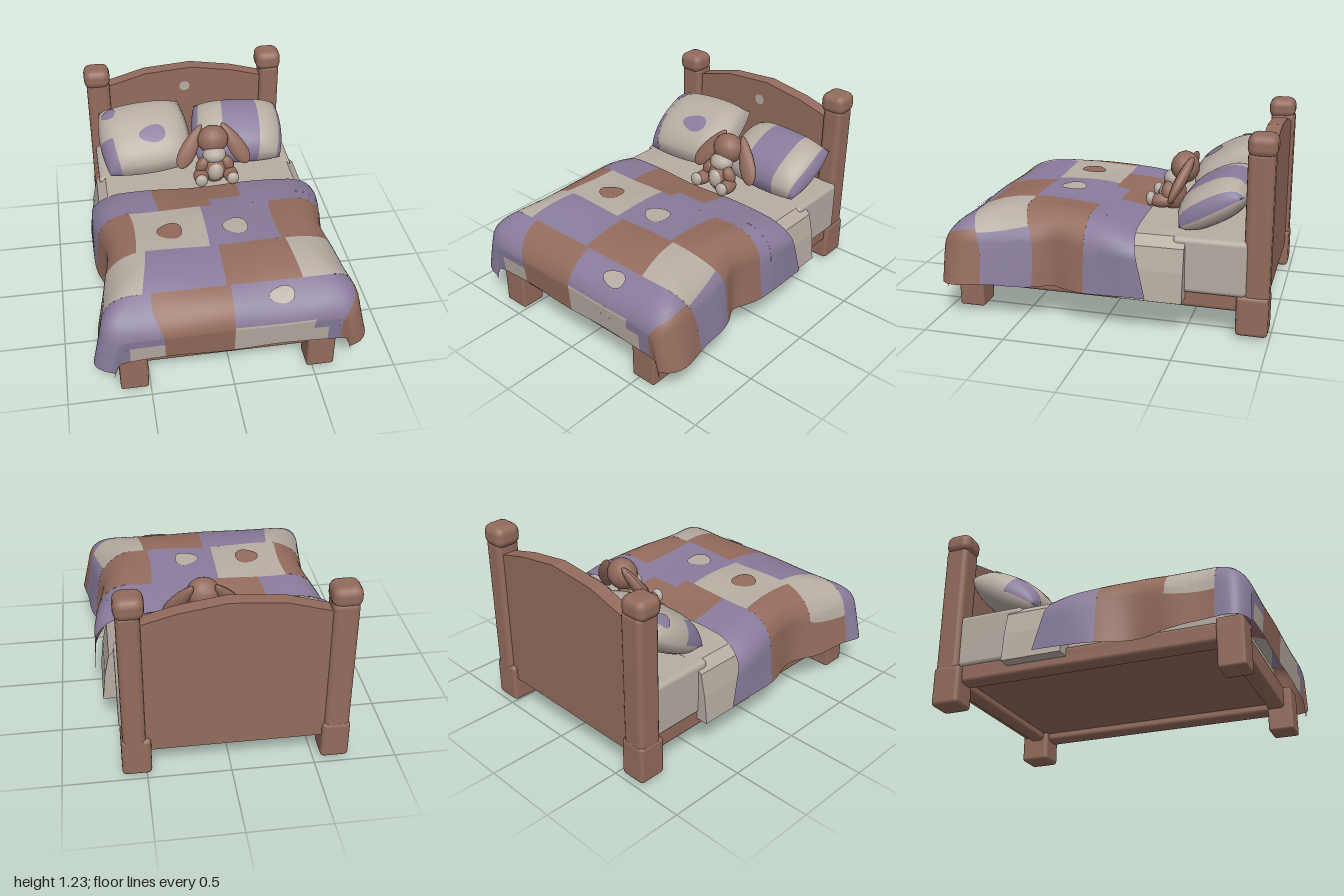
import * as THREE from 'three';
import { RoundedBoxGeometry } from 'three/addons/geometries/RoundedBoxGeometry.js';
import { ParametricGeometry } from 'three/addons/geometries/ParametricGeometry.js';

const makeMat = (name, color) =>
  Object.assign(new THREE.MeshStandardMaterial({ color, side: THREE.DoubleSide }), { name });

const W = makeMat('brown', 0x936b5c);
const P = makeMat('purple', 0x887b9b);
const C = makeMat('cream', 0xb6aca2);

function add(parent, name, geo, mat, x = 0, y = 0, z = 0) {
  const m = new THREE.Mesh(geo, mat);
  m.name = name;
  m.position.set(x, y, z);
  parent.add(m);
  return m;
}

// rounded box given by its min and max corners
function block(parent, name, mat, x0, x1, y0, y1, z0, z1, r = 0.025) {
  const geo = new RoundedBoxGeometry(x1 - x0, y1 - y0, z1 - z0, 2, r);
  return add(parent, name, geo, mat, (x0 + x1) / 2, (y0 + y1) / 2, (z0 + z1) / 2);
}

// piece of a surface fn(a, b, target) between two parameter ranges
function patch(parent, name, fn, a0, a1, b0, b1, mat, n = 12, m = 14) {
  const f = (u, v, p) => fn(a0 + (a1 - a0) * u, b0 + (b1 - b0) * v, p);
  return add(parent, name, new ParametricGeometry(f, n, m), mat);
}

// slightly irregular spot lying just above a surface
function spot(parent, name, fn, a, b, ra, rb, lift, mat) {
  const f = (u, v, p) => {
    const k = (u + 0.002) * (1 + 0.07 * Math.sin(v * Math.PI * 6));
    const w = v * Math.PI * 2;
    fn(a + ra * k * Math.cos(w), b + rb * k * Math.sin(w), p);
    p.add(lift);
  };
  add(parent, name, new ParametricGeometry(f, 4, 20), mat);
}

function extrude(points, depth) {
  const shape = new THREE.Shape(points.map(([x, y]) => new THREE.Vector2(x, y)));
  return new THREE.ExtrudeGeometry(shape, { depth, bevelEnabled: false });
}

// draped blanket: t runs to the foot, s runs across, both bend down at the edges
function blanket(t, s, p) {
  const a = Math.abs(s), smooth = THREE.MathUtils.smoothstep;
  const bump = (c, w) => Math.exp(-(((t - c) / w) ** 2));
  const top = t < 0.4 ? 0.69 - 0.07 * ((0.4 - t) / 0.6) ** 2 : 0.69;
  // sides: square near the head, sloping near the foot
  const k = smooth(t, 0.3, 0.8), start = 0.52 - 0.12 * k, turn = 0.24 + 0.04 * k;
  const th = THREE.MathUtils.clamp((a - start) / turn, 0, 1.35);
  const rest = Math.max(0, a - start - 1.35 * turn);
  let x = Math.min(a, start) + (0.2 + 0.1 * k) * Math.sin(th) + (0.1 + 0.1 * k) * rest;
  const side = ((0.2 + 0.04 * k) * (1 - Math.cos(th)) + (1.5 - 0.5 * k) * rest) * (top - 0.24) / 0.45;
  // foot end
  const ph = THREE.MathUtils.clamp((t - 0.52) / 0.42, 0, 1.5);
  const drop = Math.max(0, t - 1.15);
  const foot = 0.26 * (1 - Math.cos(ph)) + drop;
  x *= 1.03 - 0.06 * bump(0.3, 0.25) + 0.08 * bump(0.85, 0.2) + 0.04 * bump(-0.1, 0.14)
    - 0.06 * smooth(t, 0.9, 1.2);
  x += 0.04 * Math.sin(t * 14) * side;
  const z = Math.min(t, 0.52) + 0.475 * Math.sin(ph) - 0.1 * drop
    - 0.24 * side * (1 - smooth(t, -0.2, 0.03))
    - 0.09 * smooth(s, 0.5, 0.9) * smooth(t, 0.2, 0.5) * (1 - smooth(t, 0.75, 1.1));
  const y = top - (side ** 3 + foot ** 3) ** (1 / 3) + 0.007 * Math.sin(9 * s + 2) * Math.sin(8 * t);
  p.set(Math.sign(s) * x, y, z);
}

function buildBlanket(root) {
  const g = new THREE.Group();
  g.name = 'patchworkBlanket';
  root.add(g);
  const E = 1.04;
  // t range, then patch edges across and the colour of each patch
  const rows = [
    [-0.2, 0, [-E, -0.33, 0.2, E], [P, W, P]],
    [0, 0.09, [-E, -0.33, 0, E], [P, W, P]],
    [0.09, 0.5, [-E, -0.52, -0.07, 0.37, E], [W, C, P, W]],
    [0.5, 0.795, [-E, -0.85, -0.46, -0.02, 0.39, 0.72, E], [W, C, P, W, C, P]],
    [0.795, 1.13, [-E, -0.42, 0, 0.7, E], [P, W, P, W]],
    [1.13, 1.21, [-E, -0.42, 0, 0.48, 0.7, E], [P, W, C, P, W]],
    [1.21, 1.32, [-E, -0.65, -0.42, 0, 0.58, 0.7, E], [P, C, W, C, P, W]],
  ];
  for (const [t0, t1, edges, mats] of rows)
    mats.forEach((m, i) => patch(g, m.name + 'Patch', blanket, t0, t1, edges[i], edges[i + 1], m));
  const up = new THREE.Vector3(0, 0.007, 0);
  spot(g, 'brownSpot', blanket, 0.33, -0.3, 0.08, 0.08, up, W);
  spot(g, 'creamSpot', blanket, 0.34, 0.12, 0.08, 0.08, up, C);
  spot(g, 'footSpot', blanket, 0.895, 0.265, 0.06, 0.07, new THREE.Vector3(0, 0.006, 0.005), C);
}

// soft cushion; cells = [v0, v1, u0, u1, material] on the upper face
function buildPillow(root, name, w, l, pos, rot, cells) {
  const g = new THREE.Group();
  g.name = name;
  g.position.set(...pos);
  g.rotation.set(...rot);
  root.add(g);
  const shell = (h) => (v, u, p) => p.set(
    u * w * Math.sqrt(1 - 0.2 * v * v),
    h * Math.sqrt(Math.max(0, (1 - u ** 4) * (1 - Math.abs(v) ** 2.6))),
    v * l * Math.sqrt(1 - 0.2 * u * u));
  for (const [v0, v1, u0, u1, m] of cells) patch(g, 'pillowTop', shell(0.15), v0, v1, u0, u1, m, 16, 12);
  patch(g, 'pillowUnderside', shell(-0.1), -1, 1, 1, -1, C, 16, 16);
  return [g, shell(0.15)];
}

// sitting plush animal with drooping ears
function buildToy(root) {
  const g = new THREE.Group();
  g.name = 'plushToy';
  g.position.set(0.09, 0, 0);
  root.add(g);
  const ball = (name, mat, x, y, z, rx, ry, rz) => {
    const m = add(g, name, new THREE.SphereGeometry(1, 14, 10), mat, x, y, z);
    m.scale.set(rx, ry, rz);
    return m;
  };
  ball('body', W, 0, 0.69, -0.31, 0.09, 0.11, 0.08);
  ball('belly', C, 0, 0.69, -0.265, 0.055, 0.07, 0.05);
  ball('head', W, 0, 0.865, -0.38, 0.105, 0.1, 0.09);
  ball('muzzle', C, 0, 0.79, -0.315, 0.08, 0.06, 0.07);
  for (const s of [-1, 1]) {
    ball('leg', W, s * 0.1, 0.665, -0.25, 0.05, 0.045, 0.08);
    ball('sole', C, s * 0.105, 0.675, -0.185, 0.042, 0.045, 0.03);
    ball('arm', W, s * 0.085, 0.73, -0.29, 0.04, 0.06, 0.04).rotation.z = s * 0.5;
    // ear widening towards its tip
    const geo = new THREE.SphereGeometry(1, 12, 10);
    const pos = geo.attributes.position;
    for (let i = 0; i < pos.count; i++) pos.setX(i, pos.getX(i) * (1 - 0.35 * pos.getY(i)));
    geo.computeVertexNormals();
    const ear = add(g, 'ear', geo, W, s * 0.15, 0.82, -0.385);
    ear.scale.set(0.055, 0.165, 0.035);
    ear.rotation.set(-0.42, 0, s * 0.52);
  }
}

export function createModel() {
  const root = new THREE.Group();
  root.name = 'bed';

  // back posts with feet and caps
  block(root, 'backPost', W, -0.705, -0.55, 0.02, 1.1, -0.98, -0.825, 0.035);
  block(root, 'backPost', W, 0.5, 0.635, 0.02, 1.13, -0.99, -0.835, 0.035);
  block(root, 'backFoot', W, -0.71, -0.54, 0.02, 0.27, -0.985, -0.805);
  block(root, 'backFoot', W, 0.47, 0.645, 0.02, 0.27, -0.99, -0.8);
  block(root, 'postCap', W, -0.72, -0.545, 1.06, 1.19, -0.98, -0.81, 0.05);
  block(root, 'postCap', W, 0.475, 0.645, 1.09, 1.225, -1.0, -0.83, 0.05);

  // front legs
  block(root, 'frontLeg', W, -0.68, -0.51, 0, 0.3, 0.78, 0.94, 0.015);
  block(root, 'frontLeg', W, 0.46, 0.63, 0.015, 0.3, 0.78, 0.94, 0.015);

  // arched headboard with a spot
  const arch = [[-0.6, 0.18], [0.55, 0.18], [0.55, 1.03], [0.5, 1.05], [0.3, 1.105], [0.02, 1.15], [-0.3, 1.125], [-0.56, 1.05], [-0.6, 1.03]];
  add(root, 'headboard', extrude(arch, 0.09), W, 0, 0, -0.96);
  add(root, 'headboardSpot', new THREE.CircleGeometry(0.037, 9), C, -0.03, 1.01, -0.866);

  // rails and base
  block(root, 'sideRail', W, -0.67, -0.55, 0.16, 0.28, -0.88, 0.86);
  block(root, 'sideRail', W, 0.5, 0.62, 0.16, 0.28, -0.88, 0.86);
  block(root, 'frontRail', W, -0.6, 0.56, 0.16, 0.32, 0.78, 0.89);
  block(root, 'backRail', W, -0.6, 0.56, 0.16, 0.28, -0.93, -0.83);
  block(root, 'base', W, -0.6, 0.56, 0.21, 0.26, -0.88, 0.84, 0.01);

  // mattress and flared sheet
  block(root, 'mattress', C, -0.68, 0.65, 0.26, 0.6, -0.86, -0.42, 0.03);
  block(root, 'mattressFoot', C, -0.64, 0.62, 0.25, 0.5, -0.45, 0.82, 0.04);
  const half = [[0.73, 0.22], [0.71, 0.4], [0.68, 0.54], [0.62, 0.595], [0.5, 0.605]];
  const sheet = [...half, ...half.map(([x, y]) => [-x - 0.02, y]).reverse()];
  add(root, 'sheet', extrude(sheet, 0.38), C, 0, 0, -0.5);

  buildBlanket(root);

  // pillows
  const [left, top] = buildPillow(root, 'spottedPillow', 0.31, 0.27, [-0.345, 0.77, -0.615], [0.52, 0.08, 0],
    [[-1, 0.1, -1, -0.72, C], [0.1, 1, -1, -0.72, P], [-1, 1, -0.72, 1, C]]);
  const up = new THREE.Vector3(0, 0.007, 0);
  spot(left, 'pillowSpot', top, 0.2, 0.14, 0.24, 0.29, up, P);
  spot(left, 'pillowSpot', top, -0.65, -0.75, 0.18, 0.16, up, P);
  const edges = [-1, -0.88, -0.35, 0.45, 0.9, 1];
  buildPillow(root, 'stripedPillow', 0.315, 0.24, [0.3, 0.745, -0.64], [0.52, -0.05, 0],
    [P, C, P, C, P].map((m, i) => [-1, 1, edges[i], edges[i + 1], m]));

  buildToy(root);
  return root;
}
